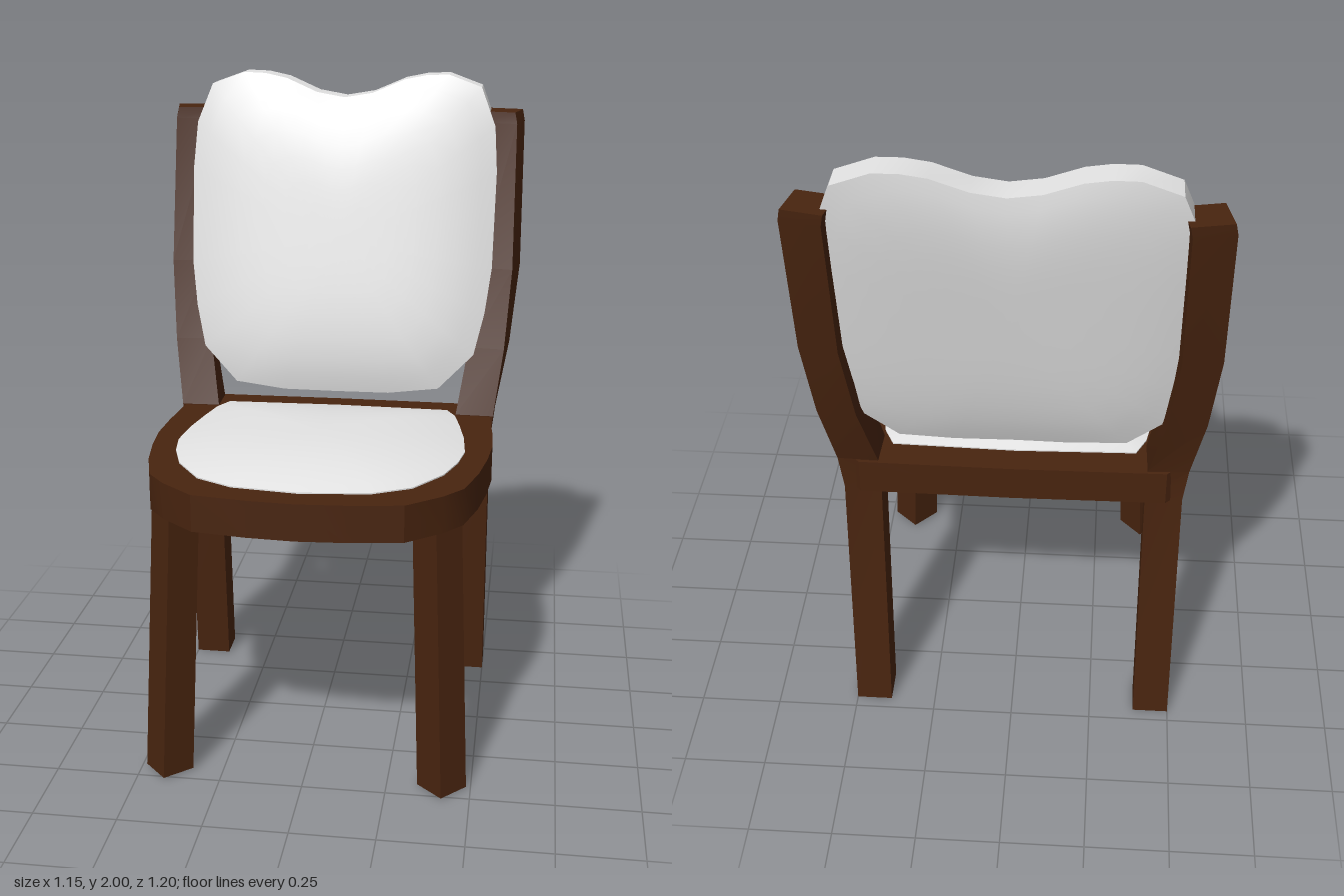
import * as THREE from 'three';
import { toCreasedNormals } from 'three/addons/utils/BufferGeometryUtils.js';

// Skin over a stack of equal rings, closed at both ends
function loft(rings, crease) {
  const n = rings[0].length;
  const pos = rings.flat(2);
  const index = [];
  const count = rings.length;
  for (let r = 0; r < count - 1; r++) {
    for (let i = 0; i < n; i++) {
      const j = (i + 1) % n;
      const a = r * n + i, b = r * n + j, c = b + n, d = a + n;
      index.push(a, b, c, a, c, d);
    }
  }
  [0, count - 1].forEach((r, end) => {
    const mid = [0, 1, 2].map(k => rings[r].reduce((s, p) => s + p[k], 0) / n);
    const m = pos.length / 3;
    pos.push(...mid);
    for (let i = 0; i < n; i++) {
      const a = r * n + i, b = r * n + (i + 1) % n;
      if (end) index.push(a, b, m); else index.push(b, a, m);
    }
  });
  const g = new THREE.BufferGeometry();
  g.setAttribute('position', new THREE.Float32BufferAttribute(pos, 3));
  g.setIndex(index);
  return toCreasedNormals(g, crease);
}

// Square timber through sections [y, x, z, yaw, width, depth]
function timber(sections, side) {
  return loft(sections.map(([y, x, z, yaw, w, d]) => {
    const c = Math.cos(yaw * side), s = Math.sin(yaw * side);
    return [[1, 1], [1, -1], [-1, -1], [-1, 1]].map(([a, b]) => {
      const u = a * w / 2, v = b * d / 2;
      return [side * x + u * c - v * s, y, z + u * s + v * c];
    });
  }), 0.2);
}

// Half outline, from centre line to centre line, completed by mirroring
const mirrored = half => [...half, ...half.slice(1, -1).reverse().map(([x, v]) => [-x, v])];

// Padded cushion: rim thickness plus a dome on both faces; place maps (u, v, w) to space
function pillow(outline, centre, thick, front, back, power, place) {
  const scales = [0.06, 0.2, 0.35, 0.5, 0.65, 0.78, 0.9, 1];
  const ring = (s, w) => outline.map(([u, v]) => place(u * s, centre + (v - centre) * s, w));
  const dome = s => 1 - Math.pow(s, power);
  return loft([
    ...scales.map(s => ring(s, -thick - back * dome(s))),
    ...scales.slice().reverse().map(s => ring(s, front * dome(s))),
  ], 0.6);
}

export function createModel() {
  const model = new THREE.Group();
  const wood = new THREE.MeshStandardMaterial({ color: 0x48240f });
  wood.name = 'dark brown wood';
  const fabric = new THREE.MeshStandardMaterial({ color: 0xe4e4e4 });
  fabric.name = 'pale grey fabric';
  const add = (name, geometry, material) => {
    const mesh = new THREE.Mesh(geometry, material);
    mesh.name = name;
    model.add(mesh);
  };

  // Seat frame: rounded ring, outline in x and -z
  const frameOutline = mirrored([
    [0, -0.597], [0.14, -0.588], [0.3, -0.565], [0.4, -0.48], [0.455, -0.41], [0.49, -0.28],
    [0.51, -0.15], [0.52, -0.03], [0.515, 0.1], [0.5, 0.28], [0.49, 0.36], [0.45, 0.4], [0, 0.405],
  ]);
  const seatOutline = mirrored([
    [0, -0.515], [0.2, -0.49], [0.31, -0.43], [0.39, -0.31], [0.425, -0.2], [0.44, -0.1],
    [0.43, 0.03], [0.41, 0.15], [0.39, 0.25], [0.36, 0.31], [0, 0.32],
  ]);
  const frame = new THREE.Shape(frameOutline.map(([x, v]) => new THREE.Vector2(x, -v)));
  frame.holes.push(new THREE.Path(
    seatOutline.map(([x, v]) => new THREE.Vector2(x * 0.97, -(-0.1 + (v + 0.1) * 0.97)))));
  const frameGeometry = new THREE.ExtrudeGeometry(frame, { depth: 0.11, bevelEnabled: false });
  frameGeometry.rotateX(Math.PI / 2).translate(0, 0.938, 0);
  add('seatFrame', toCreasedNormals(frameGeometry, 0.5), wood);

  // Seat cushion
  add('seatCushion', pillow(seatOutline, -0.1, 0.112, 0.048, 0.009, 2.4,
    (u, v, w) => [u, 0.942 + w, -v]), fabric);

  // Legs and back posts
  for (const side of [1, -1]) {
    const label = side > 0 ? 'left' : 'right';
    add(label + 'FrontLeg', timber([
      [0.005, 0.414, 0.444, 0.75, 0.103, 0.103],
      [0.86, 0.38, 0.41, 0.75, 0.1, 0.1],
    ], side), wood);
    add(label + 'BackLegAndPost', timber([
      [0, 0.445, -0.408, 0, 0.11, 0.108],
      [0.83, 0.445, -0.33, 0, 0.11, 0.11],
      [0.94, 0.452, -0.33, 0.03, 0.12, 0.12],
      [1.15, 0.487, -0.385, 0.12, 0.115, 0.118],
      [1.4, 0.508, -0.438, 0.2, 0.115, 0.11],
      [1.85, 0.505, -0.53, 0.21, 0.115, 0.105],
      [1.885, 0.498, -0.535, 0.21, 0.115, 0.105],
    ], side), wood);
  }

  // Backrest cushion: leaning, with a dipped top edge and sides swept slightly back
  const backOutline = mirrored([
    [0, 1.005], [0.17, 1.005], [0.33, 1.022], [0.44, 1.13], [0.47, 1.26], [0.488, 1.4], [0.492, 1.7],
    [0.482, 1.84], [0.435, 1.96], [0.33, 1.998], [0.26, 1.996], [0.19, 1.982], [0.09, 1.94], [0, 1.925],
  ]);
  add('backrestCushion', pillow(backOutline, 1.5, 0.085, 0.062, 0.035, 4,
    (u, v, w) => [u, v, -0.27 - 0.22 * (v - 1.02) - 0.1 * u * u + w]), fabric);

  return model;
}
